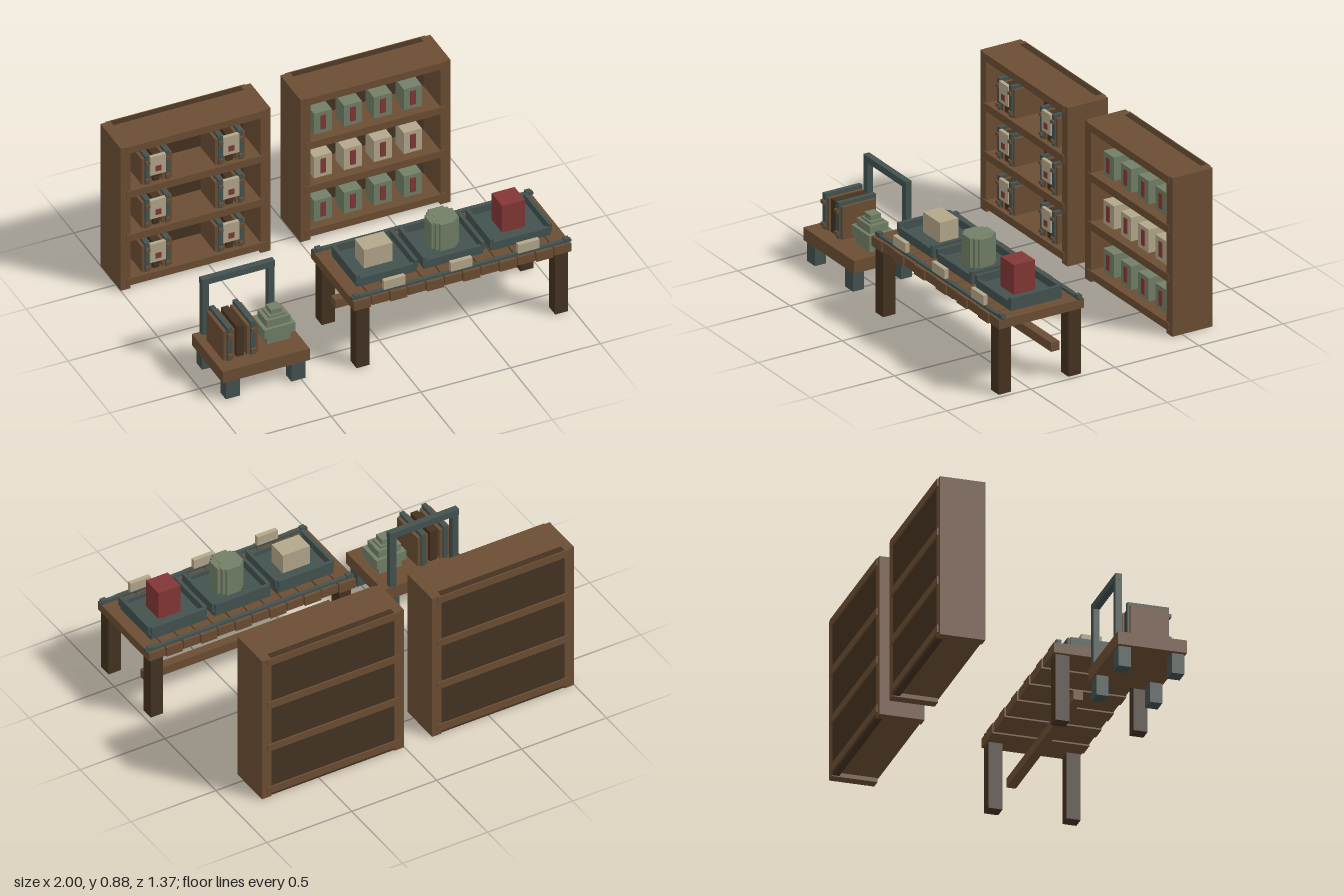
import * as THREE from 'three';

const mat = (name, color) => {
  const m = new THREE.MeshStandardMaterial({ color });
  m.name = name;
  return m;
};

export function createModel() {
  const brown = mat('oak brown', 0x6b4d33);
  const dark = mat('dark walnut', 0x443221);
  const teal = mat('slate teal', 0x43524f);
  const sage = mat('sage green', 0x727f66);
  const cream = mat('cream', 0xb3a78a);
  const red = mat('brick red', 0x823735);

  const root = new THREE.Group();
  root.name = 'shopFurniture';

  const group = (name, parent, x = 0, y = 0, z = 0) => {
    const g = new THREE.Group();
    g.name = name;
    g.position.set(x, y, z);
    parent.add(g);
    return g;
  };
  // Box given by its extents on each axis
  const box = (name, parent, m, x0, x1, y0, y1, z0, z1) => {
    const mesh = new THREE.Mesh(new THREE.BoxGeometry(x1 - x0, y1 - y0, z1 - z0), m);
    mesh.position.set((x0 + x1) / 2, (y0 + y1) / 2, (z0 + z1) / 2);
    mesh.name = name;
    parent.add(mesh);
    return mesh;
  };

  // Upright books held by two metal straps; base centre at the origin
  const bookBundle = (parent, x, y, z, s, tagged) => {
    const g = group('bookBundle', parent, x, y, z);
    g.scale.setScalar(s);
    for (const side of [-1, 1]) {
      const c = side * 0.065;
      box('book', g, brown, c - 0.031, c + 0.031, 0, 0.18, -0.1, 0.1);
      box('strap', g, teal, c - 0.013, c + 0.013, 0, 0.2, -0.11, 0.11);
      for (const h of [0.03, 0.155]) {
        box('clasp', g, brown, c - 0.013, c + 0.013, h - 0.01, h + 0.01, 0.11, 0.122);
      }
    }
    box('middleBook', g, dark, -0.02, 0.02, 0, 0.185, -0.095, 0.095);
    if (tagged) {
      box('tag', g, cream, -0.05, 0.05, 0.06, 0.19, 0.095, 0.118);
      box('seal', g, red, -0.018, 0.018, 0.085, 0.122, 0.118, 0.123);
    }
  };

  // Labelled storage box
  const labelledBox = (parent, x, y, z, m) => {
    const g = group('labelledBox', parent, x, y, z);
    box('body', g, m, -0.05, 0.05, 0, 0.13, -0.05, 0.05);
    box('label', g, red, -0.015, 0.015, 0.025, 0.11, 0.05, 0.056);
  };

  // Bookcases
  const shelfTops = [0.065, 0.335, 0.605, 0.88];
  const bookcase = (name, x) => {
    const g = group(name, root, x, 0, 0);
    for (const s of [-1, 1]) {
      const c = s * 0.39;
      box('sidePanel', g, brown, c - 0.028, c + 0.028, 0, 0.88, -0.682, -0.442);
    }
    box('backPanel', g, dark, -0.362, 0.362, 0.005, 0.882, -0.68, -0.645);
    for (const top of shelfTops) {
      box('shelf', g, brown, -0.389, 0.389, top - 0.042, top, -0.688, -0.436);
    }
    return g;
  };
  const bundleCase = bookcase('bundleBookcase', -0.582);
  const boxCase = bookcase('boxBookcase', 0.42);
  shelfTops.slice(0, 3).forEach((y, row) => {
    for (const x of [-0.207, 0.202]) bookBundle(bundleCase, x, y, -0.55, 0.87, true);
    for (let i = 0; i < 4; i++) {
      labelledBox(boxCase, -0.27 + i * 0.167, y, -0.54, row === 1 ? cream : sage);
    }
  });

  // Display table with slatted top
  const table = group('displayTable', root);
  const pitch = 1.22 / 12;
  for (let i = 0; i < 12; i++) {
    const x = -0.225 + i * pitch;
    const d = i % 2 ? 0.005 : 0;
    box('plank', table, brown, x, x + pitch - 0.007, 0.365 + d, 0.42, 0.17 + d, 0.685 - d);
  }
  for (const x of [-0.17, 0.937]) {
    for (const z of [0.222, 0.637]) {
      box('tableLeg', table, dark, x - 0.036, x + 0.036, 0, 0.367, z - 0.037, z + 0.037);
    }
  }
  box('stretcher', table, brown, -0.17, 0.94, 0.145, 0.195, 0.293, 0.342);
  for (const z of [0.2, 0.655]) {
    box('edgeRail', table, teal, -0.225, 0.995, 0.42, 0.434, z - 0.011, z + 0.011);
    for (const x of [-0.2, 0.97]) {
      box('railEnd', table, teal, x - 0.015, x + 0.015, 0.42, 0.444, z - 0.013, z + 0.013);
    }
  }

  // Three trays with price cards
  for (const x of [0.01, 0.383, 0.757]) {
    const t = group('tray', table, x, 0, 0);
    box('trayFloor', t, teal, -0.165, 0.165, 0.42, 0.45, 0.27, 0.57);
    for (const s of [-1, 1]) {
      box('traySide', t, teal, s * 0.162 - 0.01, s * 0.162 + 0.01, 0.443, 0.493, 0.28, 0.575);
    }
    box('trayBack', t, teal, -0.16, 0.16, 0.435, 0.493, 0.267, 0.287);
    box('trayFront', t, teal, -0.16, 0.16, 0.435, 0.472, 0.556, 0.575);
    box('priceCard', t, cream, -0.06, 0.06, 0.434, 0.487, 0.643, 0.668);
  }

  // Goods on the trays
  box('creamParcel', table, cream, -0.072, 0.088, 0.45, 0.562, 0.365, 0.475);
  const jar = group('sageJar', table, 0.383, 0, 0.427);
  for (const [w, d, h] of [[0.077, 0.042, 0.609], [0.06, 0.06, 0.61], [0.042, 0.076, 0.611]]) {
    box('jarBlock', jar, sage, -w, w, 0.45, h, -d, d);
  }
  box('redParcel', table, red, 0.692, 0.82, 0.45, 0.615, 0.363, 0.488);

  // Low cart with push handle
  const cart = group('cart', root);
  box('cartDeck', cart, brown, -0.94, -0.455, 0.11, 0.18, 0.28, 0.648);
  for (const x of [-0.88, -0.515]) {
    for (const z of [0.323, 0.607]) {
      box('cartLeg', cart, teal, x - 0.039, x + 0.039, 0, 0.112, z - 0.033, z + 0.033);
    }
  }
  for (const x of [-0.88, -0.513]) {
    box('handlePost', cart, teal, x - 0.018, x + 0.018, 0.18, 0.49, 0.282, 0.315);
  }
  box('handleBar', cart, teal, -0.9, -0.493, 0.487, 0.523, 0.281, 0.316);
  bookBundle(cart, -0.8, 0.18, 0.462, 1, false);

  // Stepped urn on the cart
  const urn = group('steppedUrn', cart, -0.57, 0, 0.466);
  const tiers = [[0.066, 0.058, 0.18, 0.226], [0.087, 0.072, 0.226, 0.28],
    [0.066, 0.055, 0.28, 0.322], [0.045, 0.04, 0.322, 0.335], [0.031, 0.03, 0.335, 0.363]];
  for (const [w, d, y0, y1] of tiers) box('urnTier', urn, sage, -w, w, y0, y1, -d, d);

  return root;
}
